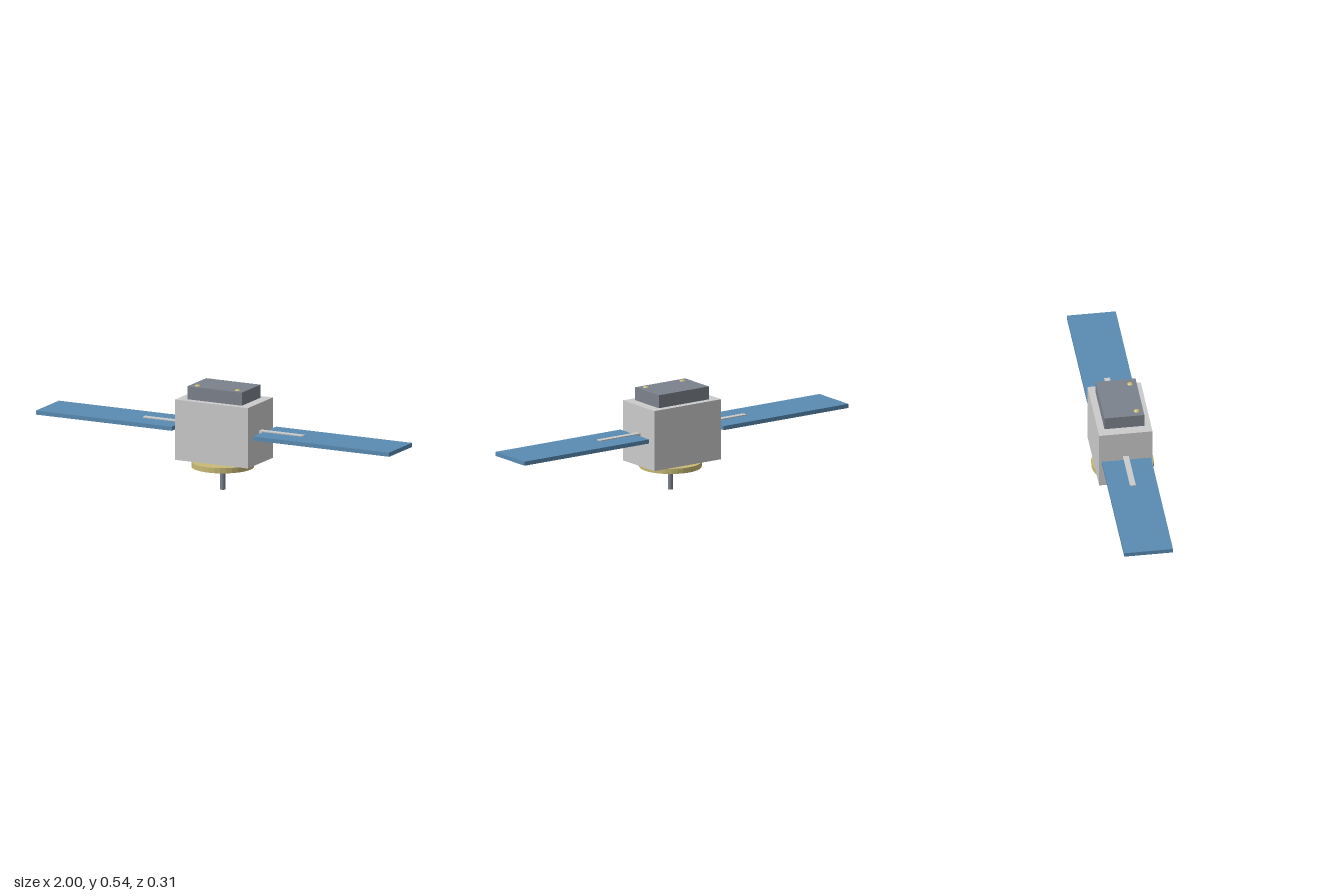
import * as THREE from 'three';

const grey = new THREE.MeshStandardMaterial({ color: 0xcccccc, flatShading: true });
const slate = new THREE.MeshStandardMaterial({ color: 0x7c828c, flatShading: true });
const blue = new THREE.MeshStandardMaterial({ color: 0x5a8cb4, flatShading: true });
const gold = new THREE.MeshStandardMaterial({ color: 0xc8ba76, flatShading: true });
const goldSmooth = new THREE.MeshStandardMaterial({ color: 0xc8ba76 });
const slateSmooth = new THREE.MeshStandardMaterial({ color: 0x7c828c });

export function createModel() {
  const model = new THREE.Group();
  model.name = 'satellite';

  const add = (name, geometry, material, x, y, z) => {
    const mesh = new THREE.Mesh(geometry, material);
    mesh.name = name;
    mesh.position.set(x, y, z);
    model.add(mesh);
  };
  const box = (w, h, d) => new THREE.BoxGeometry(w, h, d);
  const centreZ = -0.013;

  // Main bus and the equipment box on top
  add('body', box(0.412, 0.31, 0.27), grey, 0, 0.309, centreZ);
  add('equipmentBox', box(0.308, 0.067, 0.202), slate, 0, 0.4975, centreZ);

  // Antenna dish and feed rod below, set slightly apart
  add('dish', new THREE.CylinderGeometry(0.157, 0.157, 0.027, 32), gold, 0, 0.131, 0);
  add('feedRod', new THREE.CylinderGeometry(0.013, 0.013, 0.115, 16), slateSmooth, 0, 0.0575, 0);

  // Mirrored solar wings, their struts and the sensor domes
  for (const [side, s] of [['left', 1], ['right', -1]]) {
    add(side + 'SolarPanel', box(0.77, 0.021, 0.247), blue, s * 0.615, 0.3085, centreZ);
    add(side + 'Strut', box(0.25, 0.031, 0.029), grey, s * 0.327, 0.3085, centreZ);
    add(side + 'Sensor', new THREE.SphereGeometry(0.02, 20, 14), goldSmooth, s * 0.113, 0.518, 0.055);
  }
  return model;
}
